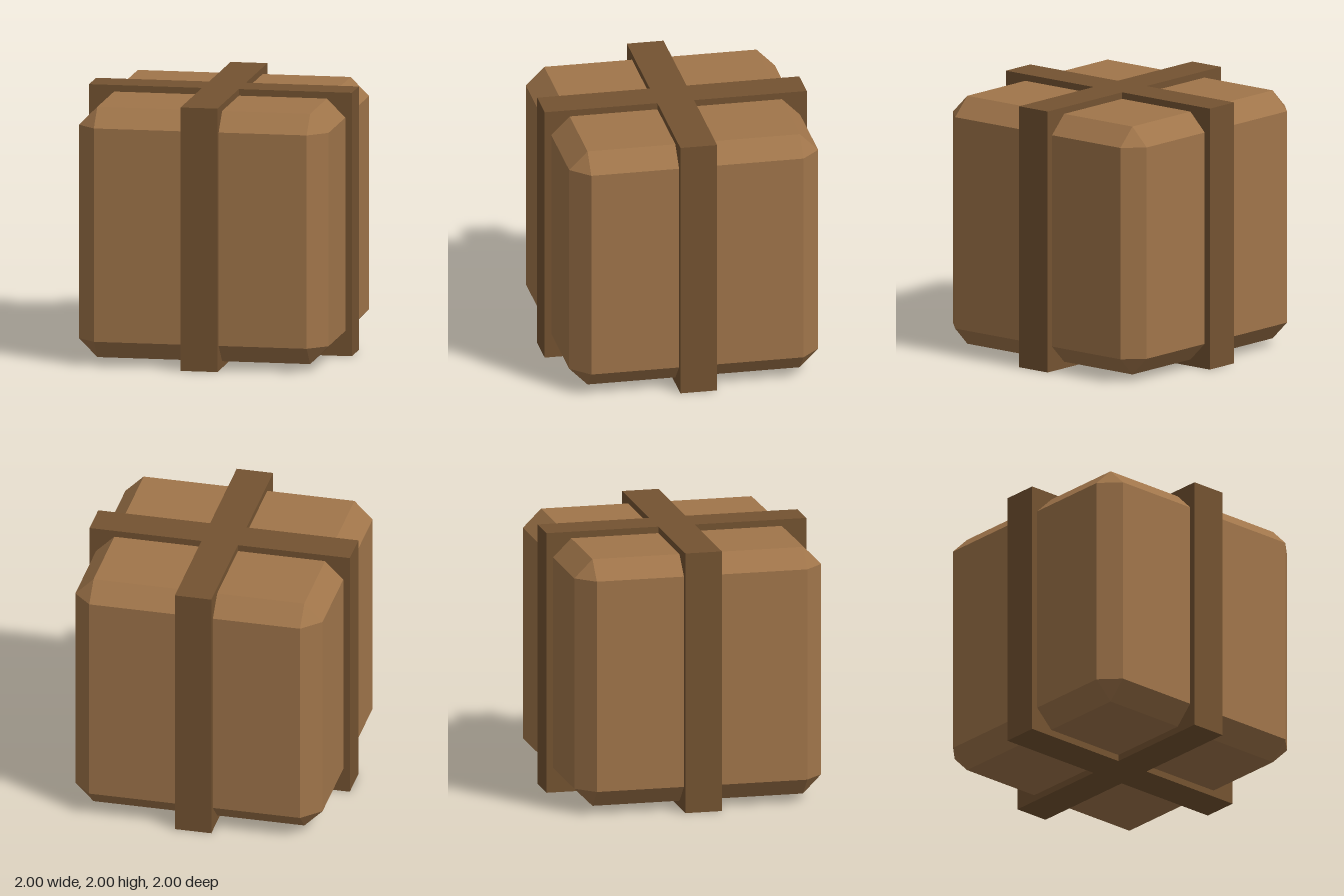
import * as THREE from 'three';
import { ConvexGeometry } from 'three/addons/geometries/ConvexGeometry.js';

const woodLight = new THREE.MeshStandardMaterial({ name: 'lightBrown', color: 0xa0754a });
const woodDark = new THREE.MeshStandardMaterial({ name: 'darkBrown', color: 0x745331 });

// Cube with every edge and corner cut: half is its half size, flat the half size of each face
function chamferedCube(half, flat) {
  const points = [];
  for (const sx of [-1, 1]) for (const sy of [-1, 1]) for (const sz of [-1, 1]) {
    for (let axis = 0; axis < 3; axis++) {
      const p = new THREE.Vector3(sx * flat, sy * flat, sz * flat);
      p.setComponent(axis, Math.sign(p.getComponent(axis)) * half);
      points.push(p);
    }
  }
  return new ConvexGeometry(points);
}

// Plus-shaped outline with arms of length r and half width w
function crossShape(r, w) {
  const quarter = [[r, -w], [r, w], [w, w]];
  const points = [];
  for (let i = 0; i < 4; i++) {
    for (const [x, y] of quarter) {
      points.push(new THREE.Vector2(x, y).rotateAround(new THREE.Vector2(), i * Math.PI / 2));
    }
  }
  return new THREE.Shape(points);
}

export function createModel() {
  const model = new THREE.Group();
  model.name = 'strappedCrate';

  // Chamfered body
  const body = new THREE.Mesh(chamferedCube(0.95, 0.81), woodLight);
  body.name = 'crateBody';
  body.position.y = 1;
  model.add(body);

  // Two crossing straps, joined as one upright plus-shaped solid
  const strapGeometry = new THREE.ExtrudeGeometry(crossShape(1, 0.14), { depth: 2, bevelEnabled: false });
  strapGeometry.rotateX(-Math.PI / 2);
  const straps = new THREE.Mesh(strapGeometry, woodDark);
  straps.name = 'crossStraps';
  model.add(straps);

  return model;
}
